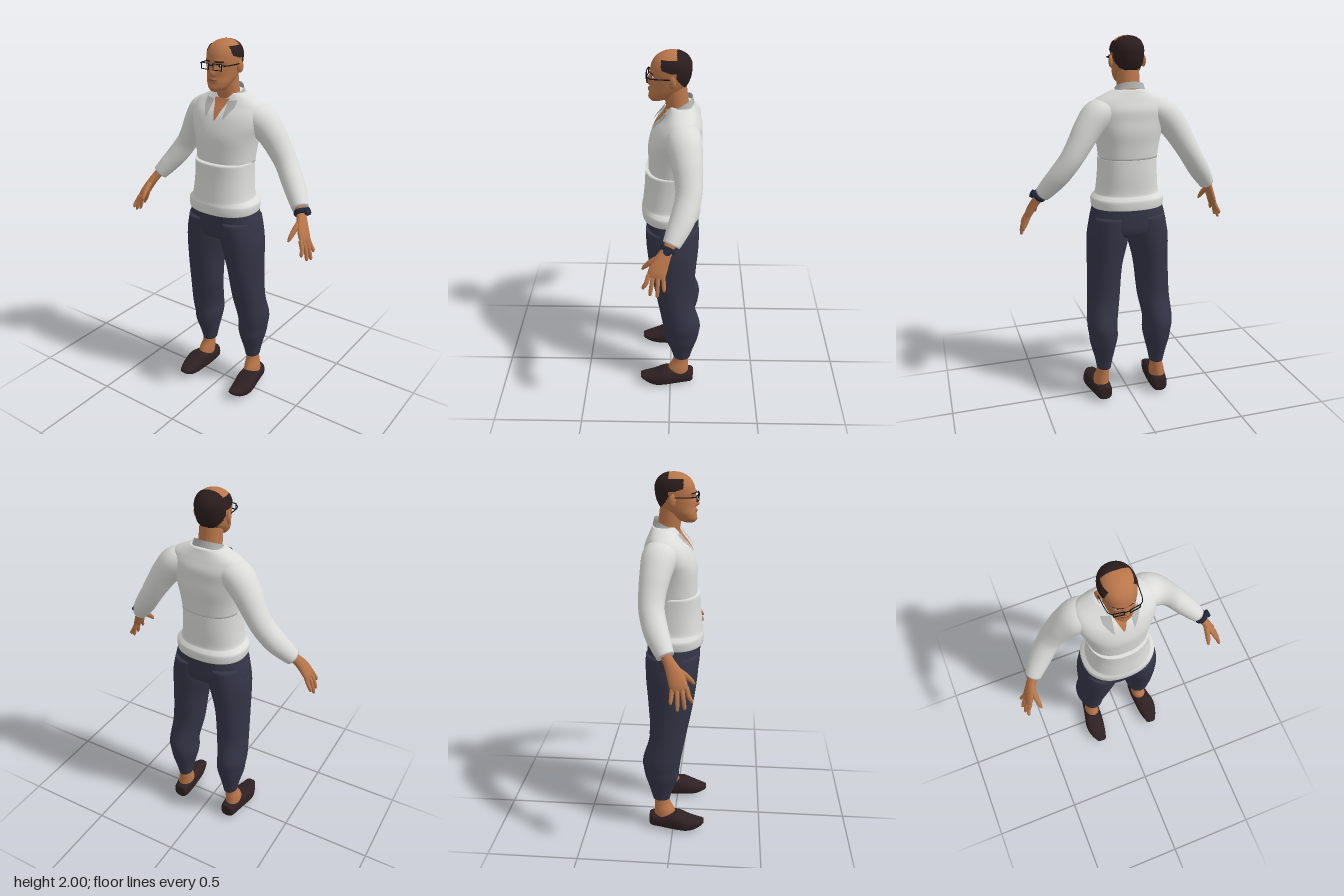
import * as THREE from 'three';

const mat = (name, color, side = THREE.FrontSide) => {
  const m = new THREE.MeshStandardMaterial({ color, side });
  m.name = name;
  return m;
};
const V = (x, y, z) => new THREE.Vector3(x, y, z);
const bump = (d, w) => Math.exp(-(d * d) / (w * w));

// Smooth value between rows of [x, y, z, radiusA, radiusB]
function sample(rows, u) {
  const f = Math.min(Math.max(u, 0), 1) * (rows.length - 1);
  const i = Math.min(Math.floor(f), rows.length - 2), t = f - i;
  const at = k => rows[Math.min(Math.max(k, 0), rows.length - 1)];
  return rows[0].map((_, k) => {
    const [a, b, c, d] = [at(i - 1)[k], at(i)[k], at(i + 1)[k], at(i + 2)[k]];
    return b + 0.5 * t * (c - a + t * (2 * a - 5 * b + 4 * c - d + t * (3 * (b - c) + d - a)));
  });
}

// Skin a chain of oval rings; dir fixes the ring plane, keep filters faces
function loft(rows, { ref = V(0, 0, 1), dir = null, n = 24, steps = rows.length * 4, pow = 2,
  cap = true, grow = 0, shape = null, keep = null } = {}) {
  const pos = [], idx = [], e = 2 / pow;
  const power = v => Math.sign(v) * Math.abs(v) ** e;
  for (let i = 0; i <= steps; i++) {
    const u = i / steps, r = sample(rows, u);
    const p = sample(rows, u - 0.01), q = sample(rows, u + 0.01);
    const t = dir ? dir.clone().normalize() : V(q[0] - p[0], q[1] - p[1], q[2] - p[2]).normalize();
    const a = ref.clone().cross(t).normalize(), b = t.clone().cross(a);
    for (let j = 0; j < n; j++) {
      const w = (j / n) * Math.PI * 2;
      const v = V(r[0], r[1], r[2])
        .addScaledVector(a, (Math.max(r[3], 0.001) + grow) * power(Math.cos(w)))
        .addScaledVector(b, (Math.max(r[4], 0.001) + grow) * power(Math.sin(w)));
      if (shape) shape(v);
      pos.push(v.x, v.y, v.z);
    }
  }
  const tri = (...f) => {
    const c = k => f.reduce((s, v) => s + pos[v * 3 + k], 0) / 3;
    if (!keep || keep(c(0), c(1), c(2))) idx.push(...f);
  };
  for (let i = 0; i < steps; i++) for (let j = 0; j < n; j++) {
    const k = (j + 1) % n, p = i * n + j, q = i * n + k;
    tri(p, q, p + n); tri(q, q + n, p + n);
  }
  if (cap) {
    const c = pos.length / 3, last = steps * n;
    pos.push(...rows[0].slice(0, 3), ...rows[rows.length - 1].slice(0, 3));
    for (let j = 0; j < n; j++) {
      const k = (j + 1) % n;
      tri(c, k, j); tri(c + 1, last + j, last + k);
    }
  }
  return finish(pos, idx);
}

function finish(pos, idx) {
  const g = new THREE.BufferGeometry();
  g.setAttribute('position', new THREE.Float32BufferAttribute(pos, 3));
  g.setIndex(idx);
  g.computeVertexNormals();
  return g;
}

// Front surface depth of an upright loft at (x, y)
function frontZ(rows, x, y, pow, shape) {
  let lo = 0, hi = 1;
  for (let k = 0; k < 30; k++) {
    const m = (lo + hi) / 2;
    if (sample(rows, m)[1] < y) lo = m; else hi = m;
  }
  const r = sample(rows, lo);
  const v = V(x, y, r[2] + r[4] * Math.max(0, 1 - Math.abs(x / r[3]) ** pow) ** (1 / pow));
  if (shape) shape(v);
  return v.z;
}

// Four-cornered patch laid over a front surface
function drape(corners, depth, n = 10) {
  const pos = [], idx = [], [A, B, C, D] = corners;
  for (let i = 0; i <= n; i++) for (let j = 0; j <= n; j++) {
    const u = j / n, v = i / n;
    const [x, y] = [0, 1].map(k => (A[k] * (1 - u) + B[k] * u) * (1 - v) + (D[k] * (1 - u) + C[k] * u) * v);
    pos.push(x, y, depth(x, y));
    if (i < n && j < n) {
      const p = i * (n + 1) + j, q = p + n + 1;
      idx.push(p, p + 1, q, p + 1, q + 1, q);
    }
  }
  return finish(pos, idx);
}

export function createModel() {
  const D = THREE.DoubleSide;
  const skin = mat('skin', 0xb9764a, D), knit = mat('sweater', 0xdcdcda), grey = mat('collar', 0xb2b2b0, D);
  const navy = mat('trousers', 0x343546), hairMat = mat('hair', 0x2b1d1d, D), leather = mat('shoes', 0x2e2023);
  const black = mat('glasses', 0x131318, D), strap = mat('watch', 0x232638);
  const lipMat = mat('lips', 0x8c4c35, D), white = mat('eyeWhite', 0xd8d2ca);
  const model = new THREE.Group();
  const add = (name, geo, m) => {
    const mesh = new THREE.Mesh(geo, m);
    mesh.name = name;
    model.add(mesh);
    return mesh;
  };
  const up = V(0, 1, 0);

  // Sweater body, in an upper and a lower half with a seam
  const chest = [[0, 1.38, -.015, .156, .13], [0, 1.45, -.018, .165, .133], [0, 1.52, -.023, .18, .137],
    [0, 1.58, -.03, .2, .128], [0, 1.635, -.042, .205, .115], [0, 1.68, -.052, .19, .088],
    [0, 1.71, -.055, .14, .072], [0, 1.735, -.055, .085, .062]];
  add('sweaterUpper', loft(chest, { dir: up, n: 48, pow: 2.3 }), knit);
  add('sweaterLower', loft([[0, 1.115, -.003, .193, .155], [0, 1.135, -.003, .196, .157], [0, 1.162, -.003, .196, .156],
    [0, 1.178, 0, .182, .149], [0, 1.2, .003, .168, .143], [0, 1.3, -.004, .159, .139], [0, 1.388, -.005, .157, .137]],
    { dir: up, n: 48, pow: 2.3 }), knit);

  // Neck, open neckline and collar
  const chestZ = off => (x, y) => frontZ(chest, x, y, 2.3) + off;
  add('neck', loft([[0, 1.62, -.05, .07, .06], [0, 1.7, -.04, .063, .06], [0, 1.75, -.03, .06, .058],
    [0, 1.84, -.018, .058, .058]], { dir: up }), skin);
  add('neckline', drape([[-.003, 1.608], [.003, 1.608], [.045, 1.71], [-.045, 1.71]], chestZ(.005)), skin);
  add('collarBand', loft([[0, 1.712, -.05, .088, .072], [0, 1.73, -.048, .08, .069], [0, 1.747, -.045, .076, .068]],
    { dir: V(0, .9, .42), n: 40, cap: false, keep: (x, y, z) => Math.abs(x) > .04 || z < -.05 }), grey);

  // Head with brow, nose, lips and chin
  const skull = [[0, 1.755, .07, .026, .028], [0, 1.772, .052, .047, .054], [0, 1.8, .036, .063, .069],
    [0, 1.83, .014, .072, .086], [0, 1.87, .004, .079, .096], [0, 1.91, 0, .083, .099], [0, 1.94, -.003, .081, .095],
    [0, 1.967, -.005, .07, .08], [0, 1.986, -.007, .05, .056], [0, 1.996, -.008, .027, .03], [0, 2, -.008, .002, .002]];
  const face = v => {
    if (v.z < .03) return;
    const ax = Math.abs(v.x), slope = v.y > 1.843 ? bump(v.y - 1.843, .03) : bump(v.y - 1.843, .01);
    v.z += .021 * bump(ax, .012) * slope - .008 * bump(ax - .033, .018) * bump(v.y - 1.882, .014)
      + .004 * bump(ax - .03, .03) * bump(v.y - 1.903, .01) + .006 * bump(ax, .022) * bump(v.y - 1.813, .011)
      + .004 * bump(ax, .025) * bump(v.y - 1.772, .014);
  };
  const headOpts = { dir: up, n: 72, steps: 70, pow: 2.15 };
  add('head', loft(skull, { ...headOpts, shape: face }), skin);
  const isHair = (x, y, z) => y > 1.825 && (z < -.03 - Math.max(0, 1.885 - y) * .7
    || (y > 1.915 && y < 1.973 && z < .045 - Math.max(0, 1.93 - y) * 3 && Math.abs(x) > .045));
  add('hair', loft(skull, { ...headOpts, grow: .004, keep: isHair }), hairMat);
  const faceZ = off => (x, y) => frontZ(skull, x, y, 2.15, face) + off;
  add('mouth', drape([[-.022, 1.809], [.022, 1.809], [.027, 1.816], [-.027, 1.816]], faceZ(.002)), lipMat);

  // Glasses bridge
  add('glassesBridge', new THREE.BoxGeometry(.026, .004, .004).translate(0, 1.887, .118), black);

  for (const s of [1, -1]) {
    const side = s > 0 ? 'left' : 'right';
    const M = rows => rows.map(([x, ...rest]) => [s * x, ...rest]);
    const part = (name, rows, m, opts) => add(side + name, loft(M(rows), opts), m);

    // Ear, eye and brow
    add(side + 'Ear', new THREE.SphereGeometry(1, 16, 12).scale(.011, .031, .019)
      .rotateY(s * -.4).translate(s * .087, 1.872, -.008), skin);
    add(side + 'Eye', new THREE.SphereGeometry(1, 14, 10).scale(.014, .006, .004)
      .translate(s * .033, 1.881, faceZ(0)(s * .033, 1.881)), white);
    add(side + 'Pupil', new THREE.SphereGeometry(1, 10, 8).scale(.006, .006, .003)
      .translate(s * .033, 1.881, faceZ(.003)(s * .033, 1.881)), hairMat);
    add(side + 'Brow', drape(M([[.014, 1.899], [.056, 1.9], [.054, 1.906], [.014, 1.907]]), faceZ(.003)), hairMat);

    // Lens frame and temple
    const box = (shape, w, h) => shape.moveTo(-w, -h).lineTo(w, -h).lineTo(w, h).lineTo(-w, h).closePath();
    const frame = box(new THREE.Shape(), .026, .0165);
    frame.holes.push(box(new THREE.Path(), .0225, .013));
    add(side + 'LensFrame', new THREE.ExtrudeGeometry(frame, { depth: .004, bevelEnabled: false })
      .rotateY(s * .16).translate(s * .037, 1.88, .112), black);
    part('Temple', [[.062, 1.889, .11, .002, .003], [.082, 1.888, .085, .002, .003], [.09, 1.887, -.005, .002, .003]],
      black, { ref: up, n: 6 });

    // Collar flap
    add(side + 'CollarFlap', drape(M([[.05, 1.615], [.09, 1.672], [.092, 1.708], [.042, 1.702]]), chestZ(.012)), grey);

    // Sleeve
    part('Sleeve', [[.12, 1.635, -.055, .06, .08], [.175, 1.608, -.066, .08, .088], [.233, 1.54, -.08, .073, .078],
      [.28, 1.465, -.09, .064, .069], [.325, 1.392, -.09, .058, .064], [.38, 1.312, -.066, .056, .062],
      [.425, 1.253, -.036, .05, .054], [.46, 1.207, -.01, .042, .044]], knit, { n: 32 });

    // Hand with four fingers and thumb
    part('Palm', [[.445, 1.235, -.02, .024, .028], [.475, 1.19, .006, .023, .028], [.5, 1.145, .033, .021, .038],
      [.525, 1.095, .055, .018, .045], [.537, 1.068, .062, .011, .04]], skin);
    [[.095, .541, .552, 1.012, .122], [.073, .545, .564, .983, .089], [.05, .545, .568, .976, .055],
      [.027, .54, .562, 1.005, .022]].forEach(([z0, xm, x1, y1, z1], i) =>
      part('Finger' + (i + 1), [[.528, 1.085, z0, .011, .012], [xm + .006, 1.045, z0 * .5 + z1 * .5, .0105, .011],
        [x1, y1 + .012, z1, .009, .009], [x1 + .001, y1, z1, .004, .004]], skin, { n: 10 }));
    part('Thumb', [[.492, 1.165, .035, .014, .016], [.487, 1.13, .082, .014, .015], [.482, 1.098, .115, .011, .011],
      [.479, 1.078, .131, .005, .005]], skin, { n: 12 });

    // Trouser leg
    part('TrouserLeg', [[.1, 1.07, -.01, .1, .141], [.112, .95, -.012, .113, .139], [.1325, .785, -.016, .0955, .121],
      [.145, .6, -.03, .09, .1], [.161, .46, -.062, .082, .106], [.156, .39, -.066, .079, .1],
      [.157, .335, -.064, .071, .092], [.156, .25, -.067, .05, .064], [.156, .19, -.068, .039, .048]],
      navy, { dir: V(0, -1, 0), n: 32 });

    // Ankle and slip-on shoe
    part('Ankle', [[.157, .24, -.066, .034, .042], [.16, .17, -.062, .035, .044], [.166, .12, -.05, .042, .057],
      [.17, .06, -.04, .042, .07]], skin, { dir: V(0, -1, 0) });
    part('Shoe', [[.164, .055, -.136, .027, .034], [.165, .053, -.122, .042, .042], [.168, .053, -.07, .05, .046],
      [.174, .056, -.015, .055, .054], [.181, .056, .035, .059, .054], [.184, .046, .08, .056, .044],
      [.182, .043, .125, .045, .032], [.178, .049, .162, .031, .017], [.177, .053, .176, .022, .007]],
      leather, { ref: up, dir: V(0, 0, 1), n: 32, pow: 2.6 });
  }

  // Trouser hips
  add('trouserHips', loft([[0, .945, -.012, .12, .07], [0, .965, -.012, .19, .12], [0, 1.0, -.012, .215, .138],
    [0, 1.06, -.01, .206, .142], [0, 1.13, -.008, .187, .142]], { dir: up, n: 48, pow: 2.3 }), navy);

  // Wristwatch on the left arm
  add('watchBand', loft([[.469, 1.203, .001, .034, .036], [.475, 1.194, .006, .038, .04], [.482, 1.185, .011, .034, .036]],
    { n: 28 }), strap);
  add('watchCase', new THREE.CylinderGeometry(.021, .021, .014, 20).rotateZ(-1.05).translate(.511, 1.207, .006), strap);
  return model;
}
